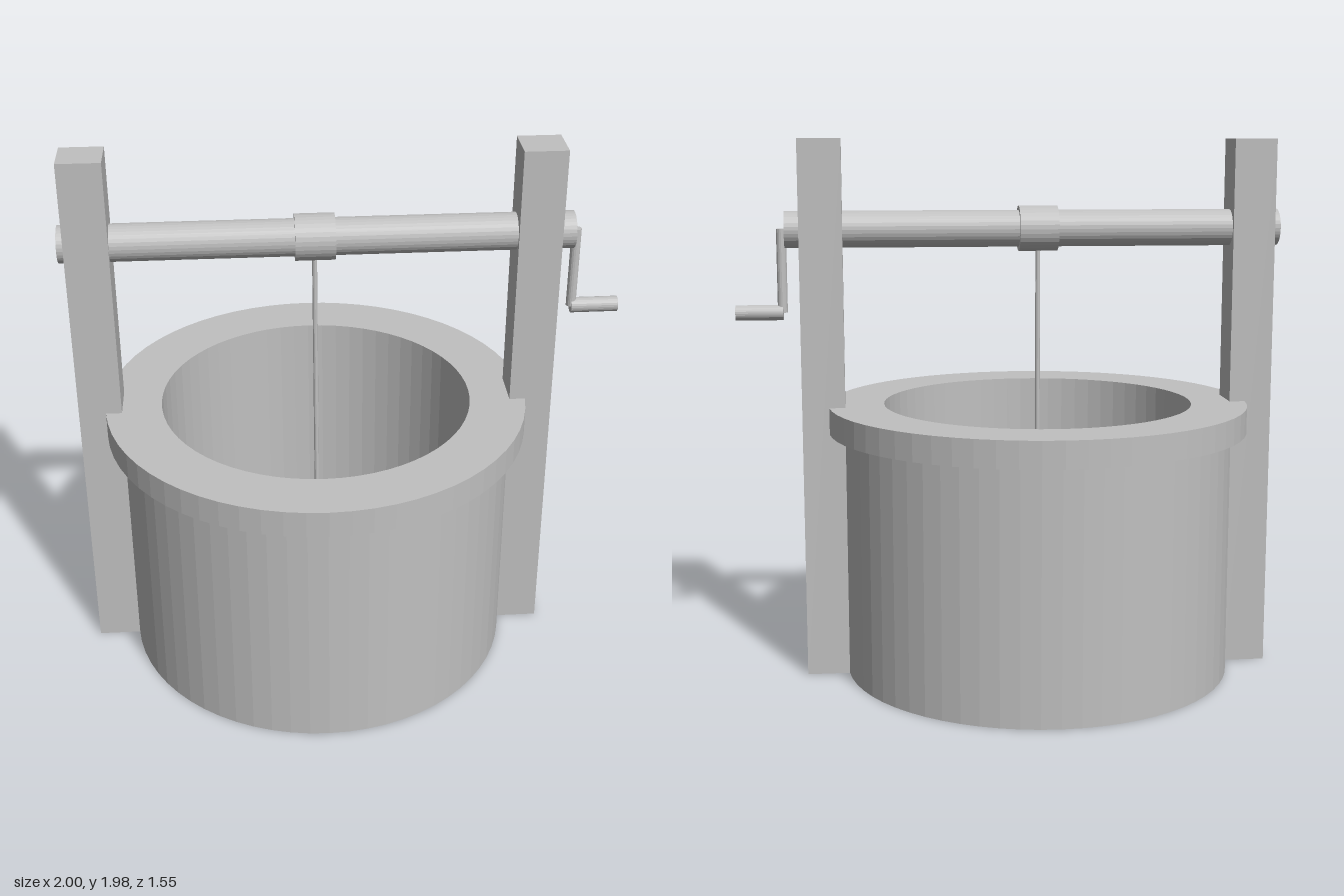
import * as THREE from 'three';

const CX = -0.105; // axis of the well
const AXLE_Y = 1.655;

export function createModel() {
  const well = new THREE.Group();
  well.name = 'well';
  const grey = new THREE.MeshStandardMaterial({ color: 0xc0c0c0 });
  grey.name = 'plain grey';

  // Adds a named part with faceted normals
  function add(name, geometry, x, y, z = 0) {
    const flat = geometry.index ? geometry.toNonIndexed() : geometry;
    flat.computeVertexNormals();
    const mesh = new THREE.Mesh(flat, grey);
    mesh.name = name;
    mesh.position.set(x, y, z);
    well.add(mesh);
    return mesh;
  }
  const lathe = (points, sides) =>
    new THREE.LatheGeometry(points.map(([r, y]) => new THREE.Vector2(r, y)), sides);
  // Cylinder along x between two x positions
  const rod = (name, r, x0, x1, y, sides = 32) =>
    add(name, new THREE.CylinderGeometry(r, r, x1 - x0, sides).rotateZ(Math.PI / 2), (x0 + x1) / 2, y);

  // Ring wall with overhanging rim and bevelled underside
  add('wall', lathe([
    [0.572, 0.1], [0.72, 0], [0.72, 0.912], [0.777, 0.912],
    [0.777, 1.01], [0.572, 1.01], [0.572, 0.1],
  ], 64), CX, 0);

  // Floor disc inside the wall
  add('floor', new THREE.CylinderGeometry(0.562, 0.562, 0.01, 16), CX, 0.105);

  // Two upright posts
  for (const side of [-1, 1]) {
    add(side < 0 ? 'rightPost' : 'leftPost',
      new THREE.BoxGeometry(0.156, 1.98, 0.156), CX + side * 0.793, 0.99);
  }

  // Axle, rope drum and crank
  rod('axle', 0.067, -1, 0.818, AXLE_Y);
  rod('ropeDrum', 0.083, -0.175, -0.033, AXLE_Y);
  add('crankArm', new THREE.CylinderGeometry(0.018, 0.018, 0.303, 16), 0.83, 1.506);
  rod('crankHandle', 0.028, 0.828, 1, 1.354, 24);

  // Hanging rope
  const bucketTop = 0.42;
  const ropeEnd = bucketTop + 0.16;
  add('rope', new THREE.CylinderGeometry(0.009, 0.009, AXLE_Y - ropeEnd, 12), CX, (AXLE_Y + ropeEnd) / 2);

  // Tapered open bucket with a bail handle
  add('bucket', lathe([
    [0, 0.14], [0.135, 0.14], [0.176, bucketTop],
    [0.155, bucketTop], [0.115, 0.16], [0, 0.16],
  ], 32), CX, 0);
  add('bucketHandle', new THREE.TorusGeometry(0.165, 0.008, 6, 20, Math.PI), CX, bucketTop);

  return well;
}
